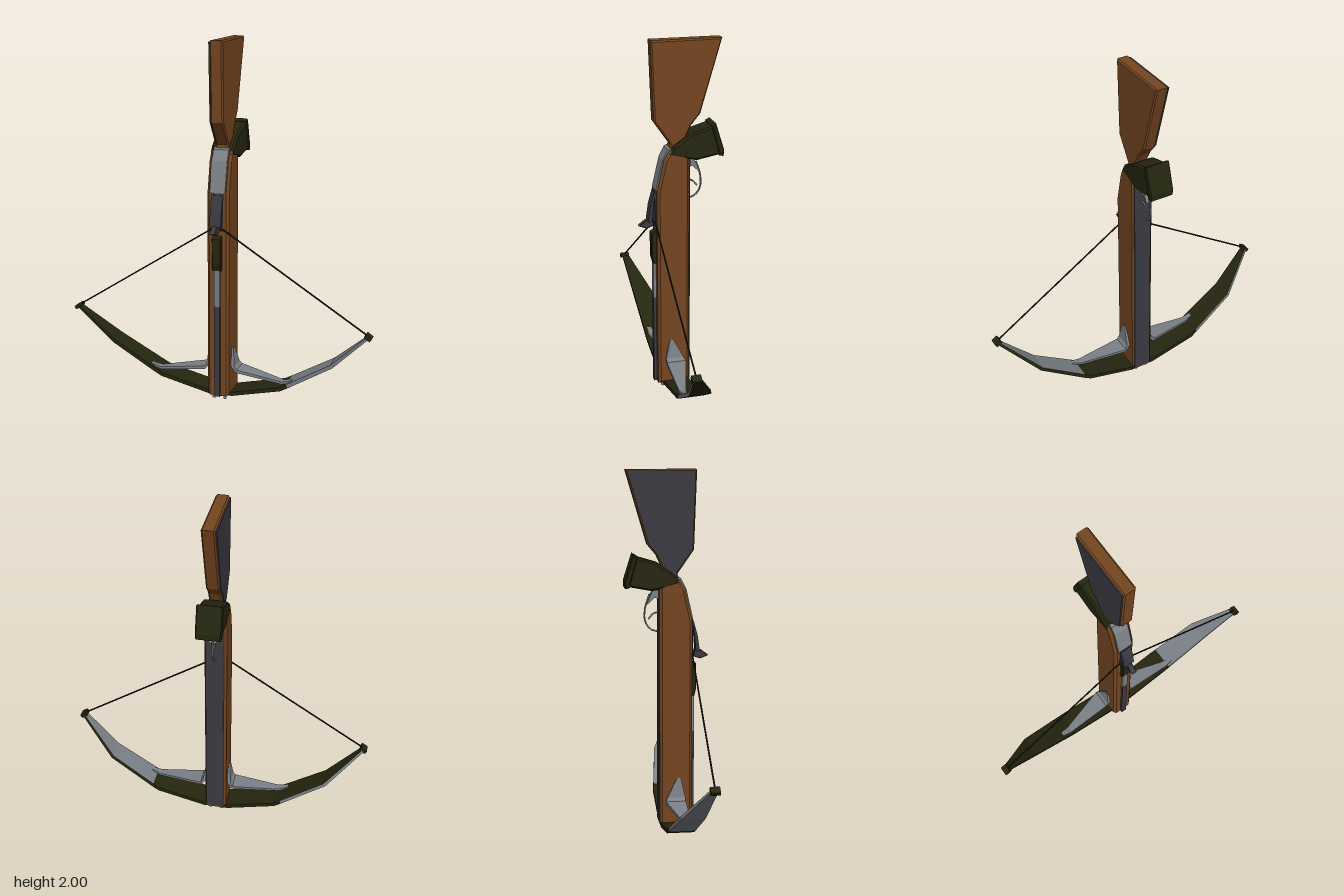
import * as THREE from 'three';

const material = (name, color) => Object.assign(new THREE.MeshStandardMaterial({ color }), { name });

export function createModel() {
  const wood = material('brown wood', 0x754621);
  const olive = material('dark olive', 0x25260f);
  const steel = material('grey steel', 0x7b8187);
  const iron = material('dark iron', 0x3a3a41);
  const cord = material('black cord', 0x16160f);

  const model = new THREE.Group();
  model.name = 'crossbow';
  const add = (name, geometry, mat, x = 0, y = 0, z = 0) => {
    const mesh = new THREE.Mesh(geometry, mat);
    mesh.name = name;
    mesh.position.set(x, y, z);
    model.add(mesh);
    return mesh;
  };
  const box = (name, mat, w, h, d, x, y, z) => add(name, new THREE.BoxGeometry(w, h, d), mat, x, y, z);

  // Side outline of [z, y] points, extruded across x with chamfered edges
  const slab = (points, half, bevel = 0) => {
    const shape = new THREE.Shape(points.map(([z, y]) => new THREE.Vector2(z, y)));
    const g = new THREE.ExtrudeGeometry(shape, {
      depth: 2 * (half - bevel), bevelEnabled: bevel > 0, bevelSegments: 1,
      bevelSize: bevel, bevelThickness: bevel, bevelOffset: -bevel,
    });
    g.translate(0, 0, bevel - half);
    return g.rotateY(-Math.PI / 2);
  };

  // Flat tapering bar through sections [x, y, zBack, zFront, thickness]
  // pick(face, segment) returns a material index; faces: 0 top, 1 front, 2 bottom, 3 back
  const bar = (sections, side, pick) => {
    const rings = sections.map(([x, y, z0, z1, t], i) => {
      const a = sections[Math.max(i - 1, 0)], b = sections[Math.min(i + 1, sections.length - 1)];
      const n = new THREE.Vector2(a[1] - b[1], b[0] - a[0]).normalize().multiplyScalar(t / 2);
      const p = (s, z) => [side * (x + s * n.x), y + s * n.y, z];
      return [p(1, z0), p(1, z1), p(-1, z1), p(-1, z0)];
    });
    const pos = [], g = new THREE.BufferGeometry();
    const quad = (c, m) => {
      const [a, b, d, e] = side > 0 ? c : [...c].reverse();
      g.addGroup(pos.length / 3, 6, m);
      pos.push(...a, ...b, ...d, ...a, ...d, ...e);
    };
    for (let i = 0; i + 1 < rings.length; i++) {
      const A = rings[i], B = rings[i + 1];
      for (let f = 0; f < 4; f++) {
        const k = (f + 1) % 4;
        quad([A[k], B[k], B[f], A[f]], pick(f, i));
      }
    }
    quad([...rings[0]], pick(0, 0));
    quad([...rings[rings.length - 1]].reverse(), pick(0, rings.length - 2));
    g.setAttribute('position', new THREE.Float32BufferAttribute(pos, 3));
    g.computeVertexNormals();
    return g;
  };

  const rod = (name, mat, points, radius, segments = 1, sides = 6) => {
    const curve = points.length === 2
      ? new THREE.LineCurve3(...points)
      : new THREE.CatmullRomCurve3(points);
    return add(name, new THREE.TubeGeometry(curve, segments, radius, sides), mat);
  };
  const V = (x, y, z) => new THREE.Vector3(x, y, z);

  // Wooden tiller with a dark plate along its underside
  add('tiller', slab([[-0.04, 0.025], [0.14, 0.025], [0.14, 1.18], [0.1, 1.36], [0.07, 1.41],
    [0.03, 1.43], [-0.04, 1.37]], 0.062, 0.014), wood);
  box('undersidePlate', iron, 0.1, 1.33, 0.006, 0.004, 0.7, -0.041);

  // Shoulder stock with a dark plate on one cheek
  const stockOutline = [[0.165, 2], [-0.222, 2], [-0.105, 1.6], [-0.055, 1.54], [0, 1.42],
    [0.07, 1.4], [0.06, 1.44], [0.15, 1.57]];
  add('stock', slab(stockOutline, 0.036, 0.008), wood);
  add('cheekPlate', slab([[0.158, 1.992], [-0.212, 1.992], [-0.098, 1.603], [-0.046, 1.54], [0.005, 1.45],
    [0.052, 1.445], [0.142, 1.573]], 0.004), iron, -0.039);

  // Grip with a flared end cap
  add('grip', slab([[0.075, 1.39], [0.045, 1.435], [-0.05, 1.5], [-0.168, 1.535], [-0.215, 1.375],
    [-0.08, 1.35]], 0.064, 0.01), olive);
  add('gripCap', slab([[-0.16, 1.537], [-0.183, 1.55], [-0.23, 1.4], [-0.228, 1.365], [-0.205, 1.368]],
    0.07, 0.006), olive);

  // Bolt rail along the top of the tiller
  box('lowerRail', iron, 0.032, 0.53, 0.02, 0, 0.29, 0.146);
  box('upperRail', steel, 0.032, 0.22, 0.02, 0, 0.66, 0.146);
  add('boltRest', slab([[0.13, 0.76], [0.156, 0.76], [0.166, 0.8], [0.166, 0.94], [0.13, 0.96]], 0.026, 0.004), olive);

  // Lock cover, cocking lever and string catch
  add('lockCover', slab([[0.125, 1.19], [0.146, 1.19], [0.107, 1.36], [0.078, 1.416], [0.06, 1.425],
    [0.06, 1.4]], 0.043), steel);
  add('lockPlate', slab([[0.13, 1.0], [0.146, 1.0], [0.147, 1.19], [0.13, 1.19]], 0.032), iron);
  add('lever', slab([[0.143, 1.18], [0.155, 1.11], [0.163, 1.01], [0.185, 1.01], [0.172, 1.1],
    [0.15, 1.18]], 0.032), iron);
  add('leverTip', slab([[0.15, 0.98], [0.19, 0.967], [0.235, 0.985], [0.195, 1.015], [0.155, 1.02]], 0.016, 0.004), iron);

  // Trigger and its thin guard
  add('trigger', slab([[-0.035, 1.35], [-0.075, 1.35], [-0.11, 1.27], [-0.095, 1.28], [-0.065, 1.31],
    [-0.035, 1.3]], 0.022), steel);
  rod('triggerGuard', steel, [V(0, 1.33, -0.09), V(0, 1.25, -0.115), V(0, 1.18, -0.115),
    V(0, 1.135, -0.085), V(0, 1.12, -0.04)], 0.005, 12);
  rod('triggerTongue', steel, [V(0, 1.23, -0.04), V(0, 1.22, -0.07), V(0, 1.19, -0.097)], 0.005, 6);

  for (const side of [1, -1]) {
    // Prod limb, with its outer half grey on opposite faces of each side
    const limb = [[0, 0.03, -0.037, 0.11, 0.022], [0.07, 0.03, -0.037, 0.11, 0.022],
      [0.35, 0.096, -0.035, 0.11, 0.022], [0.39, 0.119, -0.03, 0.112, 0.022],
      [0.64, 0.272, 0.003, 0.125, 0.02], [0.845, 0.475, 0.12, 0.155, 0.014]];
    const greyFaces = side > 0 ? [0, 1] : [2, 3];
    add(side > 0 ? 'leftLimb' : 'rightLimb',
      bar(limb, side, (f, i) => (i >= 3 && greyFaces.includes(f) ? 1 : 0)), [olive, steel]);

    // Triangular brace between tiller and limb
    const brace = [[0.064, 0.3, 0.055, 0.075, 0.012], [0.074, 0.19, 0.0, 0.1, 0.018],
      [0.095, 0.165, -0.01, 0.1, 0.018], [0.36, 0.13, 0.06, 0.1, 0.014], [0.42, 0.146, 0.072, 0.095, 0.012]];
    add('brace', bar(brace, side, () => 0), [steel]);

    // Nock and half of the string
    const nock = box('nock', olive, 0.038, 0.022, 0.05, side * 0.84, 0.471, 0.14);
    nock.rotation.z = side * -0.6;
    rod('string', cord, [V(side * 0.84, 0.475, 0.14), V(side * 0.035, 0.99, 0.143)], 0.0045);
    rod('stringCentre', cord, [V(side * 0.037, 0.988, 0.143), V(0, 1.0, 0.157)], 0.006);

    // Bolt heads under the prod
    for (const z of [-0.015, 0.11]) {
      add('prodBolt', new THREE.CylinderGeometry(0.01, 0.01, 0.03, 8), steel, side * 0.032, 0.015, z);
    }
  }
  return model;
}
